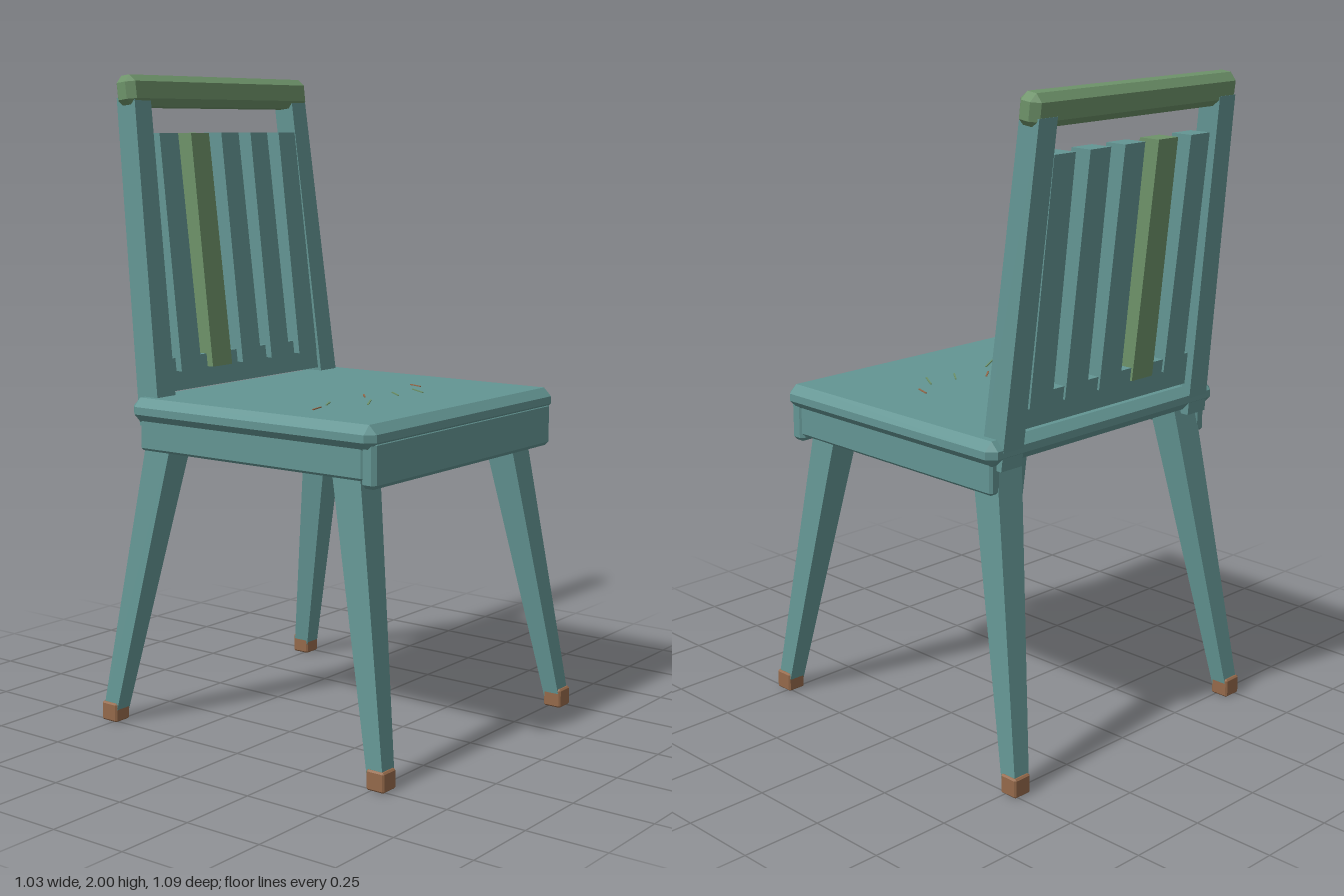
import * as THREE from 'three';
import { ConvexGeometry } from 'three/addons/geometries/ConvexGeometry.js';

const teal = new THREE.MeshStandardMaterial({ color: 0x639593 });
const green = new THREE.MeshStandardMaterial({ color: 0x6d9269 });
const brown = new THREE.MeshStandardMaterial({ color: 0x94694a });
teal.name = 'teal paint';
green.name = 'green paint';
brown.name = 'bare wood';

export function createModel() {
  const chair = new THREE.Group();
  chair.name = 'chair';

  function add(name, geometry, material) {
    const mesh = new THREE.Mesh(geometry, material);
    mesh.name = name;
    chair.add(mesh);
    return mesh;
  }

  // Box with all its edges cut at 45 degrees, placed by its extents
  function chamferBox(name, material, [x0, x1], [y0, y1], [z0, z1], c) {
    const h = [(x1 - x0) / 2, (y1 - y0) / 2, (z1 - z0) / 2];
    const points = [];
    for (const sx of [-1, 1]) for (const sy of [-1, 1]) for (const sz of [-1, 1]) {
      for (let axis = 0; axis < 3; axis++) {
        const p = h.map((v, i) => (i === axis ? v : v - c));
        points.push(new THREE.Vector3(p[0] * sx, p[1] * sy, p[2] * sz));
      }
    }
    const mesh = add(name, new ConvexGeometry(points), material);
    mesh.position.set((x0 + x1) / 2, (y0 + y1) / 2, (z0 + z1) / 2);
    return mesh;
  }

  // Slanted, tapered bar between two level rectangles [x0, x1, z0, z1]
  function beam(name, material, y0, low, y1, high) {
    const g = new THREE.BoxGeometry(1, 1, 1);
    const p = g.attributes.position;
    for (let i = 0; i < p.count; i++) {
      const r = p.getY(i) > 0 ? high : low;
      p.setXYZ(i, p.getX(i) > 0 ? r[1] : r[0], p.getY(i) > 0 ? y1 : y0, p.getZ(i) > 0 ? r[3] : r[2]);
    }
    const flat = g.toNonIndexed();
    flat.computeVertexNormals();
    return add(name, flat, material);
  }

  const mirrorX = ([a, b, c, d], s) => (s > 0 ? [a, b, c, d] : [-b, -a, c, d]);
  const mirrorZ = ([a, b, c, d], s) => (s > 0 ? [a, b, c, d] : [a, b, -d, -c]);

  // Seat and the frame below it
  chamferBox('seat', teal, [-0.492, 0.492], [0.955, 1.03], [-0.43, 0.485], 0.026);
  chamferBox('frontApron', teal, [-0.472, 0.472], [0.848, 0.985], [0.43, 0.482], 0.012);
  for (const s of [-1, 1]) {
    const x = [0.43 * s, 0.47 * s].sort((a, b) => a - b);
    chamferBox('sideApron', teal, x, [0.868, 0.975], [-0.405, 0.44], 0.008);
  }
  for (const x of [-0.25, 0, 0.25]) {
    chamferBox('underSeatBar', teal, [x - 0.02, x + 0.02], [0.92, 0.965], [-0.33, 0.43], 0.004);
  }

  // Splayed legs with worn feet
  for (const sx of [-1, 1]) for (const sz of [-1, 1]) {
    const place = (r) => mirrorZ(mirrorX(r, sx), sz);
    const top = sz > 0 ? [0.335, 0.435, 0.293, 0.397] : [0.335, 0.435, 0.29, 0.393];
    beam('leg', teal, 0.03, place([0.453, 0.509, 0.486, 0.541]), 0.965, place(top));
    const f = place([0.451, 0.513, 0.484, 0.546]);
    chamferBox('foot', brown, [f[0], f[1]], [0, 0.06], [f[2], f[3]], 0.005);
  }

  // Leaning back posts
  for (const s of [-1, 1]) {
    beam('backPost', teal,
      0.94, mirrorX([0.366, 0.448, -0.424, -0.342], s),
      1.93, mirrorX([0.342, 0.413, -0.532, -0.458], s));
  }

  // Top rail, tilted with the posts
  const topRail = chamferBox('topRail', green, [-0.43, 0.43], [1.902, 1.998], [-0.533, -0.455], 0.022);
  topRail.rotation.x = -0.12;

  // Lower rail behind the slats
  beam('lowerRail', teal, 1.04, [-0.368, 0.368, -0.41, -0.365], 1.14, [-0.362, 0.362, -0.422, -0.377]);

  // Back slats, one painted green
  for (let i = -2; i <= 2; i++) {
    const x = i * 0.145;
    beam('backSlat', i === -1 ? green : teal,
      1.1, [x - 0.046, x + 0.046, -0.425, -0.35],
      1.825, [x * 0.99 - 0.042, x * 0.99 + 0.042, -0.508, -0.436]);
  }

  // Thin scratches on the seat: x, z of both ends
  const scratches = [
    [-0.35, 0.17, -0.295, 0.158, brown], [-0.057, 0.142, -0.016, 0.108, brown],
    [0.24, 0.142, 0.256, 0.093, brown], [-0.255, 0.147, -0.2, 0.118, green],
    [-0.17, 0.237, -0.095, 0.192, green], [0.037, 0.2, 0.08, 0.147, green],
    [0.133, 0.225, 0.175, 0.158, green],
  ];
  for (const [xa, za, xb, zb, material] of scratches) {
    const length = Math.hypot(xb - xa, zb - za);
    const mesh = add('scratch', new THREE.BoxGeometry(length, 0.004, 0.005), material);
    mesh.position.set((xa + xb) / 2, 1.031, (za + zb) / 2);
    mesh.rotation.y = -Math.atan2(zb - za, xb - xa);
  }

  return chair;
}
